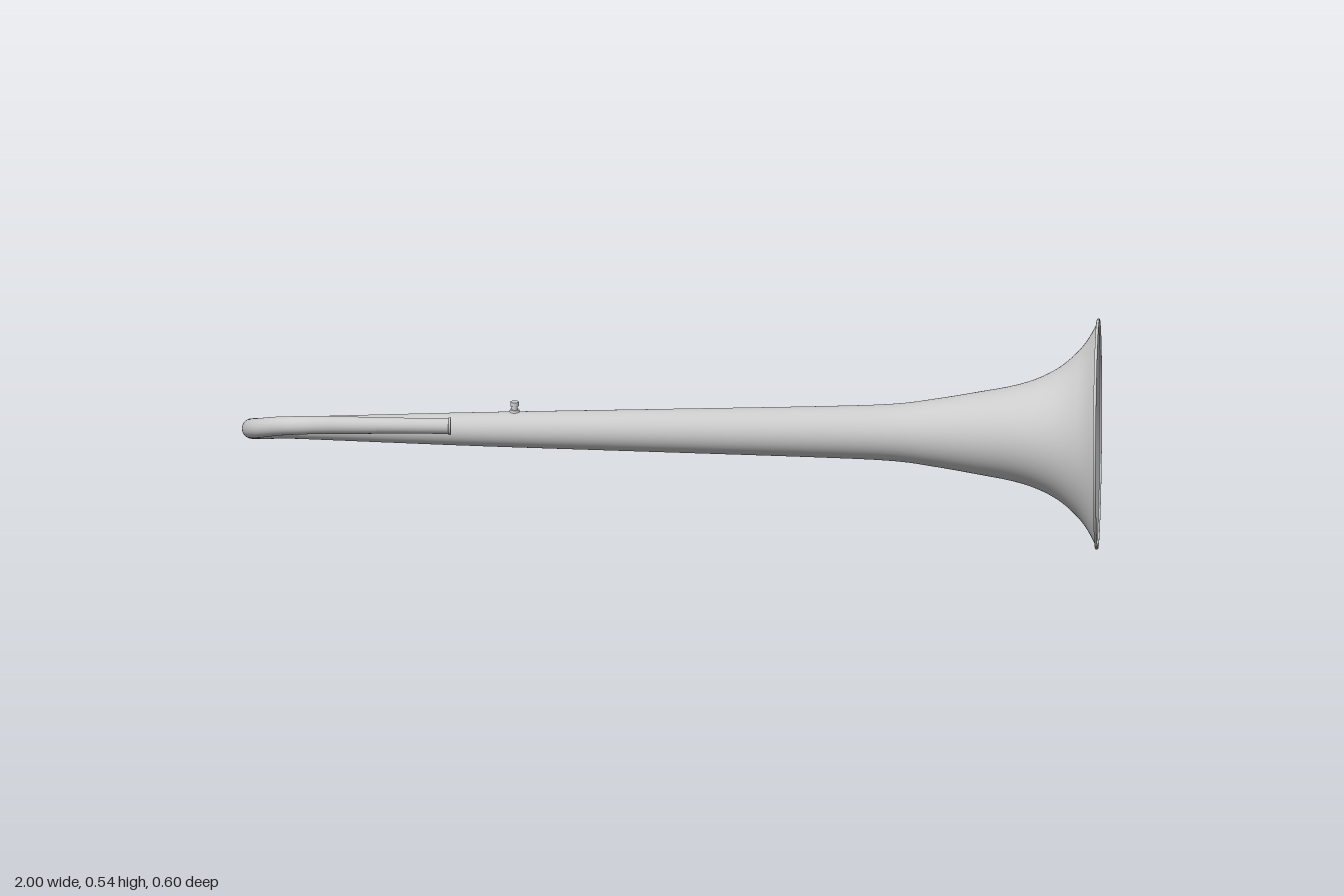
import * as THREE from 'three';

const material = new THREE.MeshStandardMaterial({ color: 0xcccccc, side: THREE.DoubleSide });

function part(group, name, geometry, x = 0, y = 0, z = 0) {
  const mesh = new THREE.Mesh(geometry, material);
  mesh.name = name;
  mesh.position.set(x, y, z);
  group.add(mesh);
  return mesh;
}

// Lathe around the x axis; profile is a list of [x, radius]
function latheX(profile, segments = 64) {
  const points = profile.map(([x, r]) => new THREE.Vector2(r, x));
  return new THREE.LatheGeometry(points, segments).rotateZ(-Math.PI / 2);
}

// Smooth curve through [x, radius] stations
function smoothProfile(stations, count) {
  const curve = new THREE.SplineCurve(stations.map(([x, r]) => new THREE.Vector2(x, r)));
  return curve.getPoints(count).map((p) => [p.x, p.y]);
}

export function createModel() {
  const group = new THREE.Group();
  group.name = 'horn';
  const axisY = 0.272, axisZ = -0.031;

  // Long conical body flaring into the bell
  const body = smoothProfile([
    [-0.87, 0.026], [-0.6, 0.035], [-0.4, 0.041], [0, 0.051], [0.35, 0.06],
    [0.52, 0.067], [0.62, 0.08], [0.72, 0.097], [0.8, 0.112], [0.86, 0.131],
    [0.91, 0.158], [0.95, 0.193], [0.975, 0.225], [0.997, 0.266],
  ], 90);
  part(group, 'bellBody', latheX(body, 96), 0, axisY, axisZ);

  // Rolled rim on the bell mouth
  const rim = new THREE.TorusGeometry(0.2665, 0.0035, 10, 96).rotateY(Math.PI / 2);
  part(group, 'bellRim', rim, 0.9965, axisY, axisZ);

  // Hooked neck that curls back and up, tapering to the mouthpipe
  const path = new THREE.CatmullRomCurve3([
    [-0.87, 0.272, -0.031], [-0.91, 0.276, -0.016], [-0.95, 0.288, 0.03], [-0.974, 0.31, 0.105],
    [-0.957, 0.334, 0.18], [-0.905, 0.358, 0.242], [-0.855, 0.369, 0.272],
    [-0.81, 0.372, 0.278], [-0.75, 0.372, 0.278], [-0.68, 0.372, 0.278],
  ].map((p) => new THREE.Vector3(...p)));
  const rings = 96, sides = 32;
  const neck = new THREE.TubeGeometry(path, rings, 0.026, sides, false);
  const pos = neck.attributes.position;
  const v = new THREE.Vector3();
  for (let i = 0; i <= rings; i++) {
    const centre = path.getPointAt(i / rings);
    const scale = 1 - 0.25 * (i / rings);
    for (let j = 0; j <= sides; j++) {
      const k = i * (sides + 1) + j;
      v.fromBufferAttribute(pos, k).sub(centre).multiplyScalar(scale).add(centre);
      pos.setXYZ(k, v.x, v.y, v.z);
    }
  }
  part(group, 'hookedNeck', neck);

  // Open mouthpipe with a small lip at its end
  part(group, 'mouthpipe', latheX([[-0.685, 0.0195], [-0.68, 0.0185], [-0.507, 0.0185]], 32), 0, 0.372, 0.278);
  part(group, 'mouthpipeLip', new THREE.TorusGeometry(0.0185, 0.003, 8, 32).rotateY(Math.PI / 2), -0.508, 0.372, 0.278);

  // Small knob on top of the body
  const knob = new THREE.Group();
  knob.name = 'knob';
  knob.position.set(-0.365, 0.309, -0.036);
  part(knob, 'knobBase', new THREE.CylinderGeometry(0.011, 0.013, 0.008, 20), 0, 0.006, 0);
  part(knob, 'knobStem', new THREE.CylinderGeometry(0.007, 0.007, 0.02, 20), 0, 0.013, 0);
  part(knob, 'knobCap', new THREE.CylinderGeometry(0.01, 0.01, 0.01, 20), 0, 0.024, 0);
  group.add(knob);

  return group;
}
